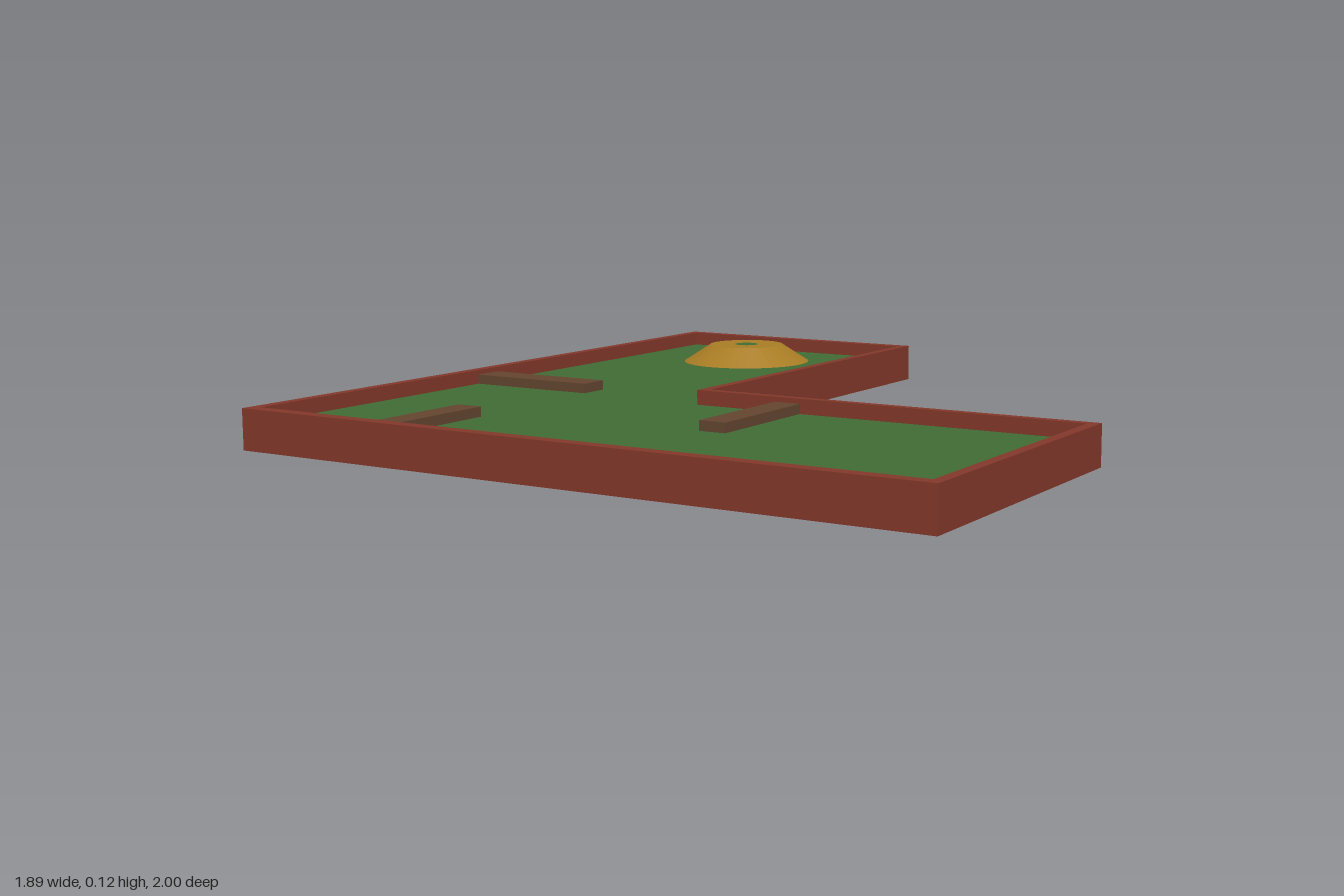
import * as THREE from 'three';

const WALL_TOP = 0.105, FLOOR = 0.066, BUMPER_TOP = 0.092, MOUND_TOP = 0.118;

const paint = (color) => new THREE.MeshStandardMaterial({ color });

// L-shaped outline in plan: x0..x1, z0..z1 with the back-left quarter cut off at (cx, cz)
function lPoints(x0, x1, z0, z1, cx, cz) {
  return [[x0, z1], [x1, z1], [x1, cz], [cx, cz], [cx, z0], [x0, z0]]
    .map(([x, z]) => new THREE.Vector2(x, -z));
}

// Raise a plan shape from y0 to y1
function slab(shape, y0, y1) {
  const g = new THREE.ExtrudeGeometry(shape, { depth: y1 - y0, bevelEnabled: false });
  return g.rotateX(-Math.PI / 2).translate(0, y0, 0);
}

export function createModel() {
  const group = new THREE.Group();
  const add = (name, geometry, material) => {
    const mesh = new THREE.Mesh(geometry, material);
    mesh.name = name;
    group.add(mesh);
    return mesh;
  };
  const brick = paint(0x83382a), green = paint(0x406b34);
  const wood = paint(0x634530), sand = paint(0xa87c24);

  const outer = lPoints(-0.945, 0.945, -1, 1, -0.14, 0.14);
  const inner = lPoints(-0.918, 0.918, -0.97, 0.966, -0.165, 0.164);

  // Rim around the course
  const rim = new THREE.Shape(outer);
  rim.holes.push(new THREE.Path(inner));
  add('rim', slab(rim, 0, WALL_TOP), brick);

  // Base under the turf, and the turf itself
  add('base', slab(new THREE.Shape(inner), 0, 0.03), brick);
  add('turf', slab(new THREE.Shape(inner), 0.03, FLOOR), green);

  // Bumpers standing out from the rim: x0, x1, z0, z1
  const bumpers = {
    leftLaneBumper: [0.072, 0.146, 0.164, 0.515],
    rightLaneBumper: [-0.918, -0.545, 0.062, 0.146],
    frontBumper: [-0.59, -0.518, 0.612, 0.966],
  };
  for (const [name, [x0, x1, z0, z1]] of Object.entries(bumpers)) {
    const box = new THREE.BoxGeometry(x1 - x0, BUMPER_TOP - FLOOR, z1 - z0);
    add(name, box, wood).position.set((x0 + x1) / 2, (BUMPER_TOP + FLOOR) / 2, (z0 + z1) / 2);
  }

  // Mound: sloping side, flat top and the cup in its middle
  const mound = new THREE.Group();
  mound.name = 'mound';
  mound.position.set(-0.545, 0, -0.688);
  group.add(mound);
  const h = MOUND_TOP - FLOOR;
  const side = new THREE.CylinderGeometry(0.112, 0.192, h, 48, 1, true).translate(0, FLOOR + h / 2, 0);
  const top = new THREE.RingGeometry(0.035, 0.112, 48).rotateX(-Math.PI / 2).translate(0, MOUND_TOP, 0);
  const cup = new THREE.CircleGeometry(0.035, 48).rotateX(-Math.PI / 2).translate(0, MOUND_TOP, 0);
  mound.add(add('moundSide', side, sand), add('moundTop', top, sand), add('cup', cup, green));

  return group;
}
